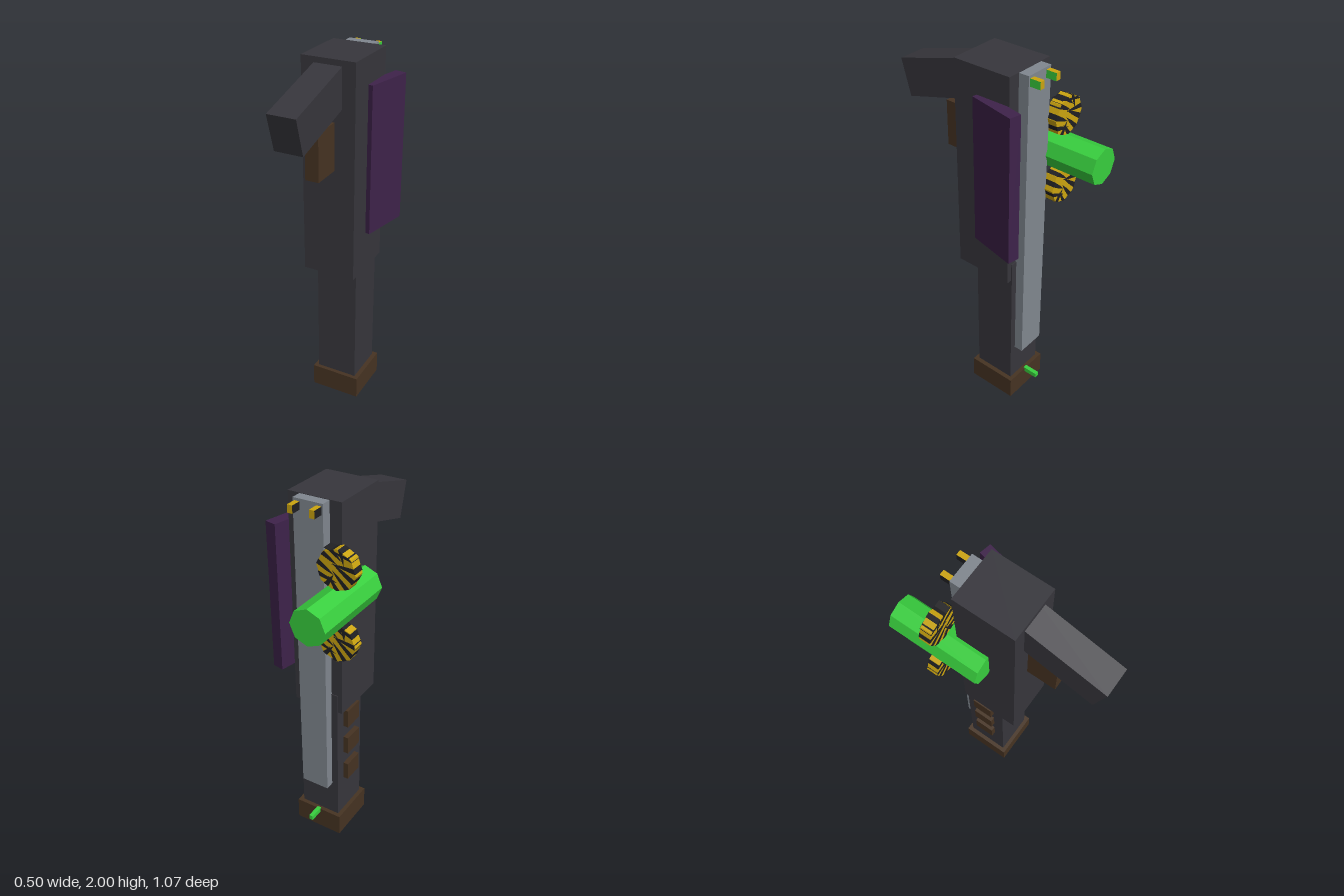
import * as THREE from 'three';

const paint = (name, color) => {
  const m = new THREE.MeshStandardMaterial({ color });
  m.name = name;
  return m;
};

export function createModel() {
  const dark = paint('dark metal', 0x37363c);
  const brown = paint('brown', 0x463322);
  const purple = paint('purple', 0x3e224a);
  const grey = paint('grey rail', 0x80878f);
  const green = paint('bright green', 0x38cf3e);
  const yellow = paint('yellow', 0xcba40f);
  const black = paint('stripe black', 0x1f1f22);
  const facet = (g) => { const f = g.toNonIndexed(); f.computeVertexNormals(); return f; };

  const model = new THREE.Group();
  const add = (name, geometry, material, parent = model) => {
    const mesh = new THREE.Mesh(geometry, material);
    mesh.name = name;
    parent.add(mesh);
    return mesh;
  };
  // Box given by its limits on each axis
  const box = (name, material, [x0, x1], [y0, y1], [z0, z1]) => {
    const mesh = add(name, new THREE.BoxGeometry(x1 - x0, y1 - y0, z1 - z0), material);
    mesh.position.set((x0 + x1) / 2, (y0 + y1) / 2, (z0 + z1) / 2);
    return mesh;
  };

  // Body, barrel and muzzle
  box('body', dark, [-0.118, 0.17], [0.845, 2], [-0.21, 0.115]);
  box('barrel', dark, [-0.092, 0.14], [0.1, 0.95], [-0.215, 0.02]);
  box('muzzle', brown, [-0.115, 0.165], [0, 0.128], [-0.238, 0.042]);
  box('rail', grey, [-0.055, 0.105], [0.34, 1.998], [-0.265, -0.203]);

  // Tilted grip and trigger guard
  const grip = add('grip', new THREE.BoxGeometry(0.15, 0.198, 0.5), dark);
  grip.position.set(0.025, 1.8265, 0.268);
  grip.rotation.x = 0.269;
  box('triggerGuard', brown, [-0.013, 0.06], [1.445, 1.695], [0.1, 0.275]);

  // Vent blocks along the barrel side
  for (const y of [0.41, 0.593, 0.773]) {
    box('ventBlock', brown, [-0.12, -0.08], [y - 0.053, y + 0.053], [-0.155, -0.04]);
  }

  // Angled side plate
  const plate = add('sidePlate', new THREE.BoxGeometry(0.063, 0.797, 0.27), purple);
  plate.position.set(0.1925, 1.46, -0.1545);
  plate.rotation.y = -0.212;

  // Sights: faces in the order +x, -x, +y, -y, +z, -z
  for (const x of [-0.034, 0.082]) {
    box('rearSight', [green, black, yellow, green, yellow, yellow],
      [x - 0.014, x + 0.014], [1.946, 1.985], [-0.322, -0.255]);
  }
  box('frontSight', green, [0.014, 0.037], [0.105, 0.133], [-0.317, -0.23]);

  // Octagonal canister lying front to back
  const tube = facet(new THREE.CylinderGeometry(0.095, 0.095, 0.502, 8).rotateX(Math.PI / 2));
  add('canister', tube, green).position.set(-0.137, 1.533, -0.281);

  // Striped octagonal discs above and below the canister
  const R = 0.104, depth = 0.06, step = Math.PI / 4;
  const rim = (deg) => {
    const a = THREE.MathUtils.degToRad(deg);
    const off = ((a % step) + step) % step - step / 2;
    const r = R * 1.012 * Math.cos(step / 2) / Math.cos(off);
    return new THREE.Vector2(r * Math.cos(a), r * Math.sin(a));
  };
  // Each stripe: start angle at the rim, angular width, length, slant in degrees
  const stripes = [
    [92, 14, 0.07, 250], [126, 15, 0.14, 8], [158, 15, 0.12, 0], [190, 16, 0.13, 28],
    [222, 15, 0.11, 40], [254, 14, 0.08, 50], [290, 15, 0.07, 120], [326, 16, 0.1, 190],
    [2, 15, 0.1, 205], [34, 14, 0.09, 205], [64, 14, 0.07, 215],
  ];
  const disc = (name, y, flip, turn) => {
    const group = new THREE.Group();
    group.name = name;
    group.position.set(-0.149, y, -0.282);
    group.rotation.z = turn;
    model.add(group);
    const g = new THREE.CylinderGeometry(R, R, depth, 8).rotateX(Math.PI / 2);
    add('disc', facet(g), yellow, group);
    for (const [a, w, len, slant] of stripes) {
      const s = a + flip, p = rim(s), q = rim(s + w);
      const d = THREE.MathUtils.degToRad(slant + flip);
      const mid = p.clone().add(q).multiplyScalar(0.5);
      const tip = mid.clone().add(new THREE.Vector2(Math.cos(d), Math.sin(d)).multiplyScalar(len));
      // The belly keeps the stripe wide halfway along
      const along = tip.clone().sub(mid).multiplyScalar(0.55);
      const half = q.clone().sub(p).multiplyScalar(0.32);
      const b1 = mid.clone().add(along).add(half);
      const b2 = mid.clone().add(along).sub(half);
      const shape = new THREE.Shape([p, q, b1, tip, b2]);
      const sg = new THREE.ExtrudeGeometry(shape, { depth: depth + 0.003, bevelEnabled: false });
      add('stripe', sg.translate(0, 0, -(depth + 0.003) / 2), black, group);
    }
  };
  disc('upperDisc', 1.723, 0, 0.08);
  disc('lowerDisc', 1.344, 12, 0);

  return model;
}
